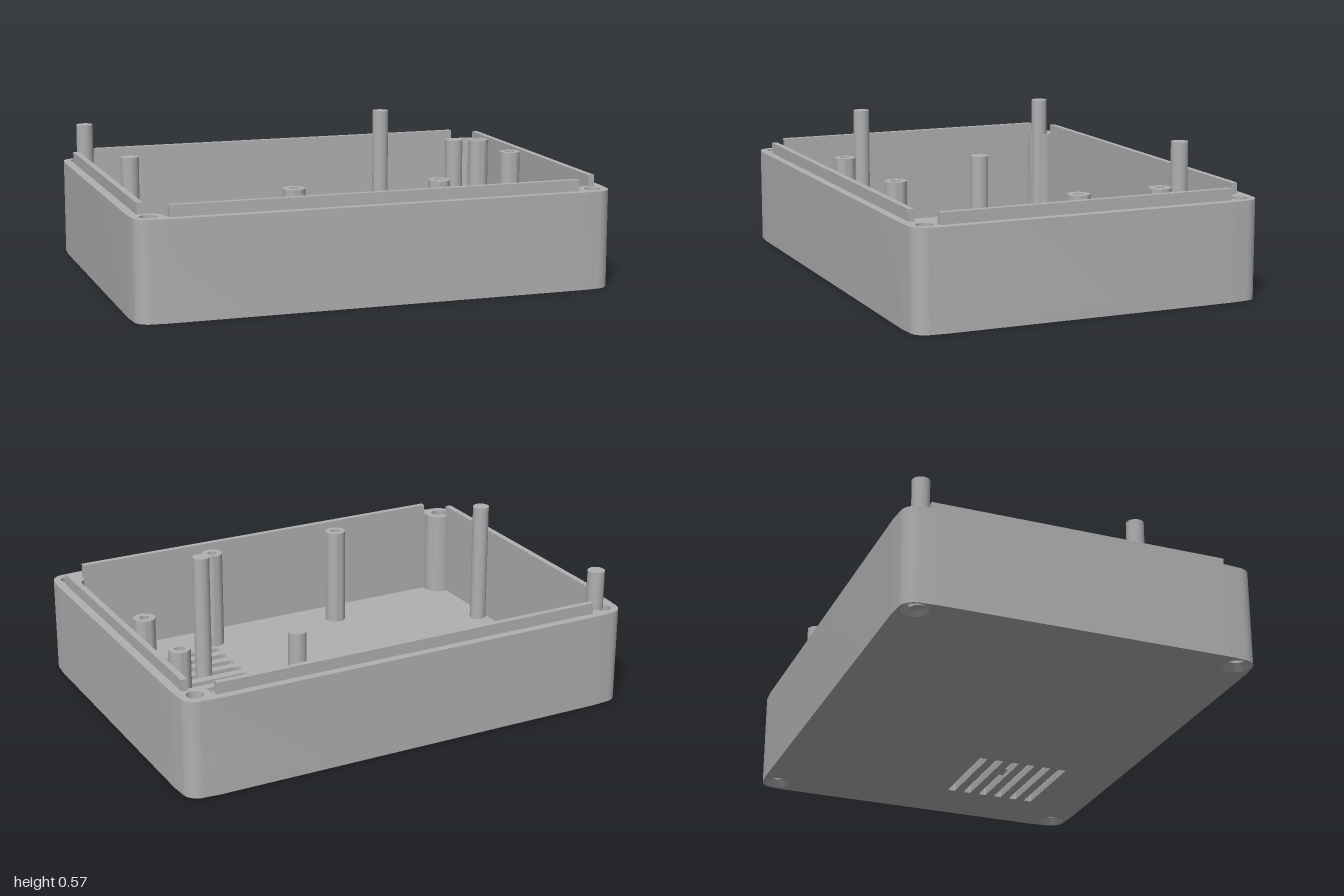
import * as THREE from 'three';
import { toCreasedNormals } from 'three/addons/utils/BufferGeometryUtils.js';

const CX = 0.93, CZ = 0.67;       // screw hole centres
const FLOOR = 0.03, RIM = 0.406, LIP = 0.453;
const corners = [[1, 1], [-1, 1], [-1, -1], [1, -1]];

// Mirrors one corner's points (ordered counter-clockwise) into a closed outline
function fourCorners(pts) {
  const out = [];
  corners.forEach(([sx, sz]) => {
    const q = pts.map(([x, z]) => new THREE.Vector2(x * sx, z * sz));
    out.push(...(sx * sz > 0 ? q : q.reverse()));
  });
  return out;
}

// Outer outline: straight sides stepping slightly in to a round corner
function outerShape() {
  const pts = [[1, 0.6], [0.999, 0.625], [0.996, 0.65]];
  for (let i = 0; i <= 10; i++) {
    const a = (i / 10) * Math.PI / 2;
    pts.push([CX + 0.065 * Math.cos(a), CZ + 0.065 * Math.sin(a)]);
  }
  pts.push([0.91, 0.736], [0.885, 0.739], [0.86, 0.74]);
  return new THREE.Shape(fourCorners(pts));
}

// Cavity outline: rectangle with the screw columns bulging into its corners
function cavityPath() {
  const pts = [];
  const a0 = Math.atan2(-0.0632, 0.015), a1 = Math.atan2(0.02, -0.0618) - 2 * Math.PI;
  for (let i = 0; i <= 16; i++) {
    const a = a0 + (a1 - a0) * i / 16;
    pts.push([CX + 0.065 * Math.cos(a), CZ + 0.065 * Math.sin(a)]);
  }
  return new THREE.Path(fourCorners(pts));
}

function screwHoles(r) {
  return corners.map(([sx, sz]) => {
    const p = new THREE.Path();
    p.absarc(sx * CX, sz * CZ, r, 0, Math.PI * 2);
    return p;
  });
}

// Extrudes a plan shape upward from y0 to y1
function slab(shape, y0, y1) {
  const g = new THREE.ExtrudeGeometry(shape, { depth: y1 - y0, bevelEnabled: false, curveSegments: 16 });
  g.rotateX(-Math.PI / 2).translate(0, y0, 0);
  return toCreasedNormals(g, 0.6);
}

export function createModel() {
  const group = new THREE.Group();
  const plastic = new THREE.MeshStandardMaterial({ color: 0xb0b0b0 });
  plastic.name = 'greyPlastic';
  plastic.side = THREE.DoubleSide;
  const add = (name, geometry, x = 0, y = 0, z = 0) => {
    const m = new THREE.Mesh(geometry, plastic);
    m.name = name;
    m.position.set(x, y, z);
    group.add(m);
  };

  // Floor with vent slots
  const floor = outerShape();
  floor.holes.push(...screwHoles(0.056));
  for (let i = 0; i < 6; i++) {
    const z = 0.093 + i * 0.0745, h = 0.0175, c = 0.006;
    floor.holes.push(new THREE.Path([
      [0.32 + c, -h], [0.73 - c, -h], [0.73, -h + c], [0.73, h - c],
      [0.73 - c, h], [0.32 + c, h], [0.32, h - c], [0.32, -h + c],
    ].map(([x, y]) => new THREE.Vector2(x, y - z))));
  }
  add('floor', slab(floor, 0, FLOOR));

  // Walls with corner screw columns
  const walls = outerShape();
  walls.holes.push(cavityPath(), ...screwHoles(0.034));
  add('walls', slab(walls, FLOOR, RIM));

  // Countersinks under the corners
  for (const [sx, sz] of corners) {
    add('countersink', new THREE.CylinderGeometry(0.034, 0.056, FLOOR, 32, 1, true), sx * CX, FLOOR / 2, sz * CZ);
  }

  // Locating lips along the inside of the rim
  const lipBase = 0.37, lipH = LIP - lipBase;
  for (const s of [-1, 1]) {
    add('sideLip', new THREE.BoxGeometry(0.026, lipH, 1.24), s * 0.95, lipBase + lipH / 2, 0);
    add('endLip', new THREE.BoxGeometry(1.71, lipH, 0.025), 0, lipBase + lipH / 2, s * 0.6935);
  }

  // Tall solid posts
  for (const x of [-0.905, 0.485]) {
    for (const z of [-0.645, 0.26]) {
      add('post', new THREE.CylinderGeometry(0.036, 0.036, 0.55, 32), x, 0.295, z);
    }
  }

  // Screw bosses with blind holes
  const profile = [[0.045, 0.02], [0.045, 0.459], [0.02, 0.459], [0.02, 0.3], [0, 0.3]]
    .map(([r, y]) => new THREE.Vector2(r, y));
  const boss = toCreasedNormals(new THREE.LatheGeometry(profile, 32), 0.6);
  for (const [x, z] of [[0.855, -0.355], [0.855, 0], [-0.31, 0.548], [0.305, 0.548]]) {
    add('screwBoss', boss, x, 0, z);
  }
  return group;
}
